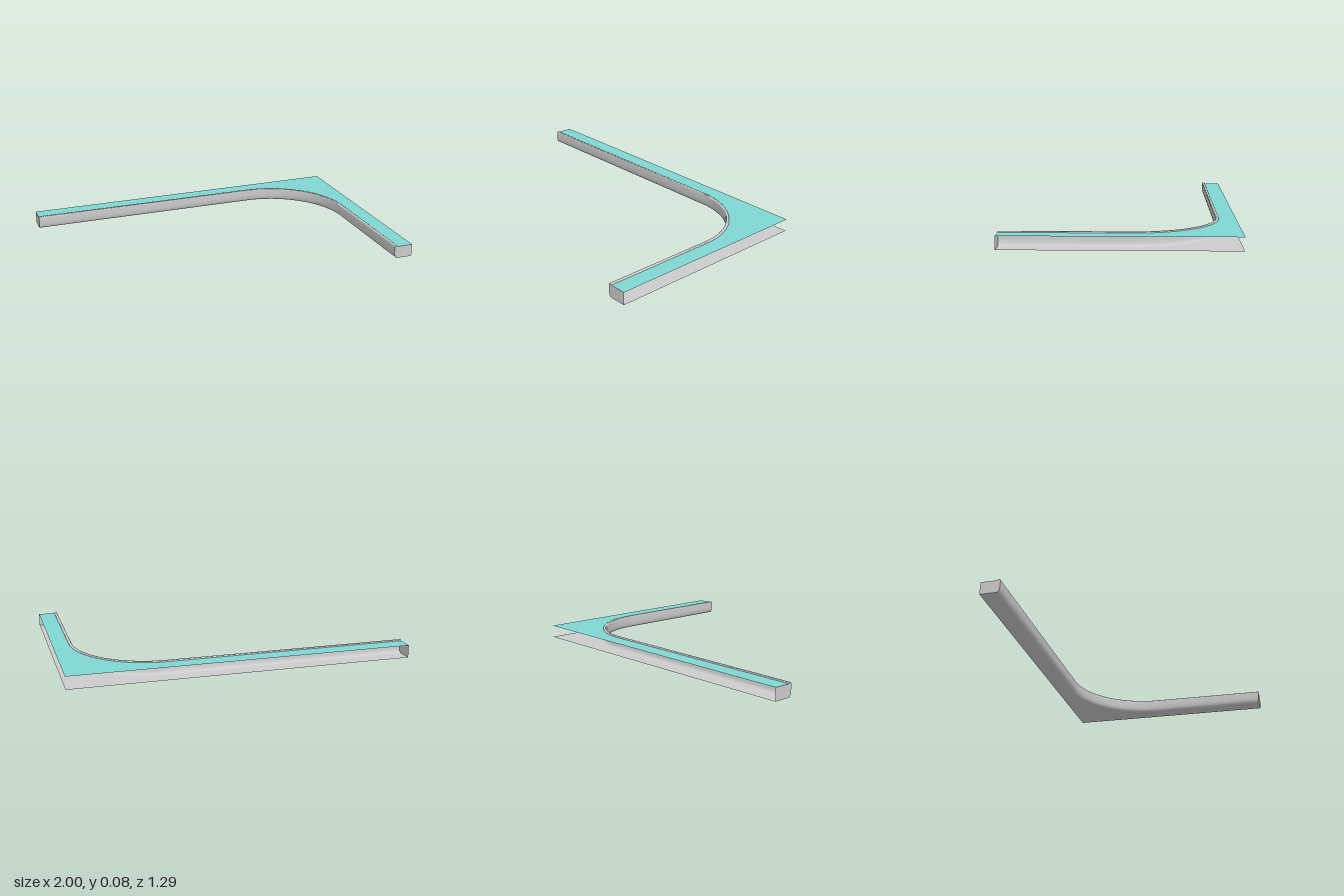
import * as THREE from 'three';

const OUT_X = 1, OUT_Z = 0.645, WIDTH = 0.115, R = 0.46, TOP = 0.074;
const IN_X = OUT_X - WIDTH, IN_Z = -OUT_Z + WIDTH;
const CX = IN_X - R, CZ = IN_Z + R;

// Edge profile: [inset from the inner edge, height], from the top lip down and under
const PROFILE = [
  [0.018, TOP], [0.016, 0.079], [0.012, 0.08], [0.004, 0.08], [0.001, 0.077], [0, 0.07],
  [0, 0.045], [0.001, 0.028], [0.004, 0.014], [0.009, 0.006], [0.014, 0.002], [0.02, 0],
];

// Inner edge path at a given inset: straight, quarter arc, straight
function innerPath(d) {
  const pts = [[-1, IN_Z - d]];
  for (let i = 0; i <= 32; i++) {
    const a = -Math.PI / 2 + (i / 32) * Math.PI / 2;
    pts.push([CX + (R + d) * Math.cos(a), CZ + (R + d) * Math.sin(a)]);
  }
  pts.push([IN_X + d, OUT_Z]);
  return pts;
}

// Flat L-shaped sheet with its inner corner rounded
function sheet(d, y) {
  const pts = innerPath(d);
  pts.push([OUT_X, OUT_Z], [OUT_X, -OUT_Z], [-1, -OUT_Z]);
  const shape = new THREE.Shape(pts.map(([x, z]) => new THREE.Vector2(x, -z)));
  return new THREE.ShapeGeometry(shape).rotateX(-Math.PI / 2).translate(0, y, 0);
}

// Profile swept along the inner path
function edgeStrip() {
  const pos = [], idx = [], n = innerPath(0).length;
  for (const [d, y] of PROFILE) for (const [x, z] of innerPath(d)) pos.push(x, y, z);
  for (let j = 0; j < PROFILE.length - 1; j++) {
    for (let i = 0; i < n - 1; i++) {
      const a = j * n + i, b = a + n;
      idx.push(a, b, a + 1, a + 1, b, b + 1);
    }
  }
  const g = new THREE.BufferGeometry();
  g.setAttribute('position', new THREE.Float32BufferAttribute(pos, 3));
  g.setIndex(idx);
  g.computeVertexNormals();
  return g;
}

// Closing plate with the outline of the cross-section
function endCap() {
  const pts = PROFILE.map(([d, y]) => new THREE.Vector2(d, y));
  pts.push(new THREE.Vector2(WIDTH, 0), new THREE.Vector2(WIDTH, TOP));
  return new THREE.ShapeGeometry(new THREE.Shape(pts));
}

export function createModel() {
  const group = new THREE.Group();
  const grey = new THREE.MeshStandardMaterial({ color: 0xcccccc, side: THREE.DoubleSide });
  const teal = new THREE.MeshStandardMaterial({ color: 0x7fd6d2, side: THREE.DoubleSide });
  const add = (name, geometry, material) => {
    const mesh = new THREE.Mesh(geometry, material);
    mesh.name = name;
    group.add(mesh);
  };

  // The outer sides stay open between the two sheets
  add('topSheet', sheet(0.018, TOP), teal);
  add('bottomSheet', sheet(0.02, 0), grey);
  add('innerEdge', edgeStrip(), grey);
  add('shortArmCap', endCap().translate(IN_X, 0, OUT_Z), grey);
  add('longArmCap', endCap().rotateY(Math.PI / 2).translate(-1, 0, IN_Z), grey);
  return group;
}
